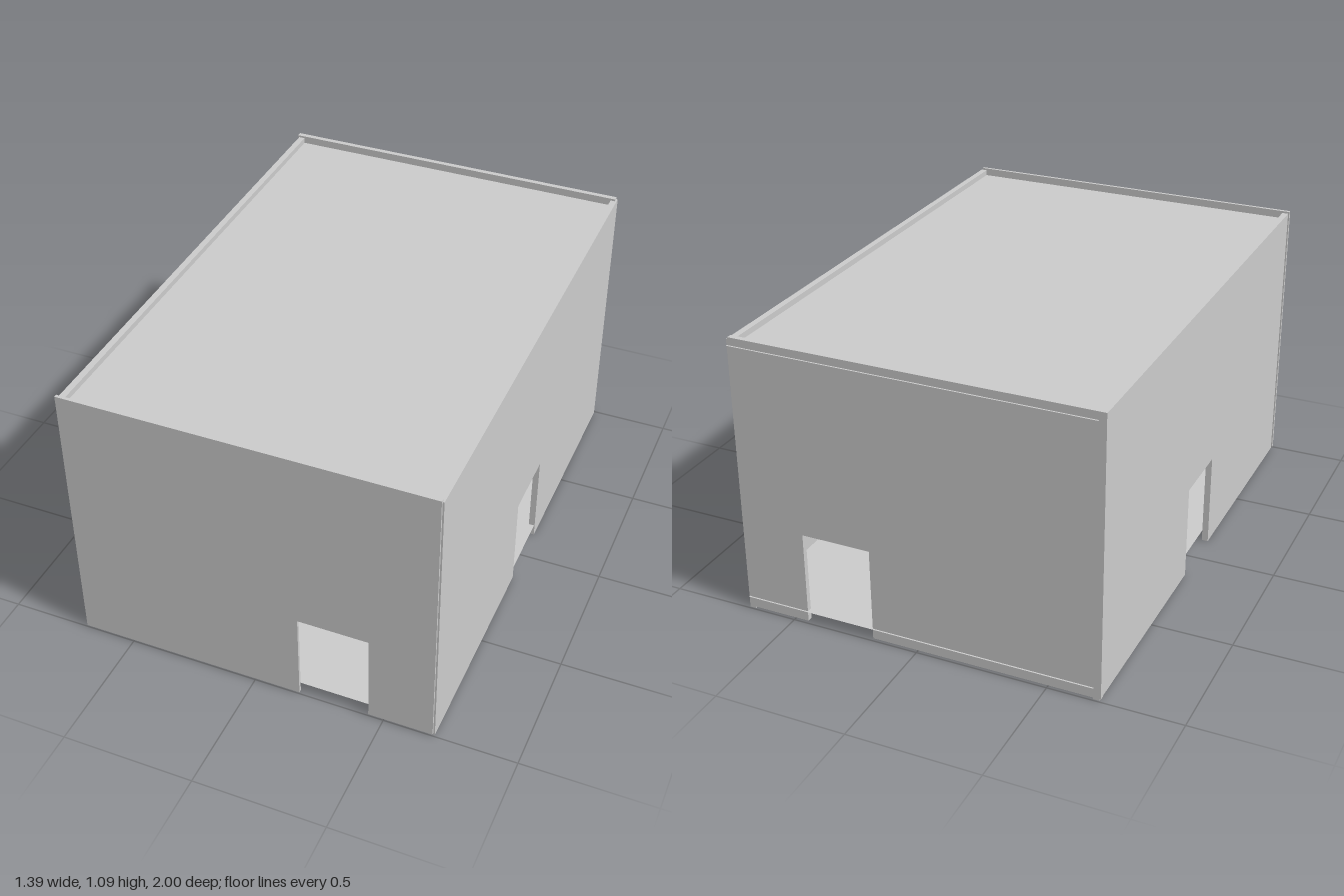
import * as THREE from 'three';

const DOOR_HEIGHT = 0.367;

// Wall slab with a doorway open at the bottom, drawn in (u, y) and extruded by its thickness
function doorWall(name, material, u0, u1, y0, y1, doorStart, doorEnd, thickness) {
  const shape = new THREE.Shape([
    [u0, y0], [doorStart, y0], [doorStart, DOOR_HEIGHT], [doorEnd, DOOR_HEIGHT],
    [doorEnd, y0], [u1, y0], [u1, y1], [u0, y1],
  ].map(([u, y]) => new THREE.Vector2(u, y)));
  const geometry = new THREE.ExtrudeGeometry(shape, { depth: thickness, bevelEnabled: false });
  const mesh = new THREE.Mesh(geometry, material);
  mesh.name = name;
  return mesh;
}

export function createModel() {
  const model = new THREE.Group();
  model.name = 'room';
  const material = new THREE.MeshStandardMaterial({ color: 0xcccccc, flatShading: true });
  const sheet = new THREE.MeshStandardMaterial({
    color: 0xcccccc, flatShading: true, side: THREE.DoubleSide,
  });

  // Front and back walls, doorway off to one side
  for (const [name, z, thickness] of [['frontWall', 0.988, 0.012], ['backWall', -0.994, 0.02]]) {
    const wall = doorWall(name, material, -0.697, 0.686, 0.007, 1.086, 0.176, 0.443, thickness);
    wall.position.z = z;
    model.add(wall);
  }

  // Side walls, doorway in the middle, slightly lower than the end walls
  for (const [name, x] of [['leftWall', 0.668], ['rightWall', -0.692]]) {
    const wall = doorWall(name, material, -0.992, 0.993, 0, 1.078, -0.133, 0.133, 0.024);
    wall.rotation.y = Math.PI / 2;
    wall.position.x = x;
    model.add(wall);
  }

  // Thin floor and ceiling sheets, set in from the wall edges and just reaching through the back
  for (const [name, y] of [['floor', 0.048], ['ceiling', 1.056]]) {
    const plane = new THREE.Mesh(new THREE.PlaneGeometry(1.36, 1.99), sheet);
    plane.name = name;
    plane.rotation.x = -Math.PI / 2;
    plane.position.set(0.01, y, -0.005);
    model.add(plane);
  }

  return model;
}
